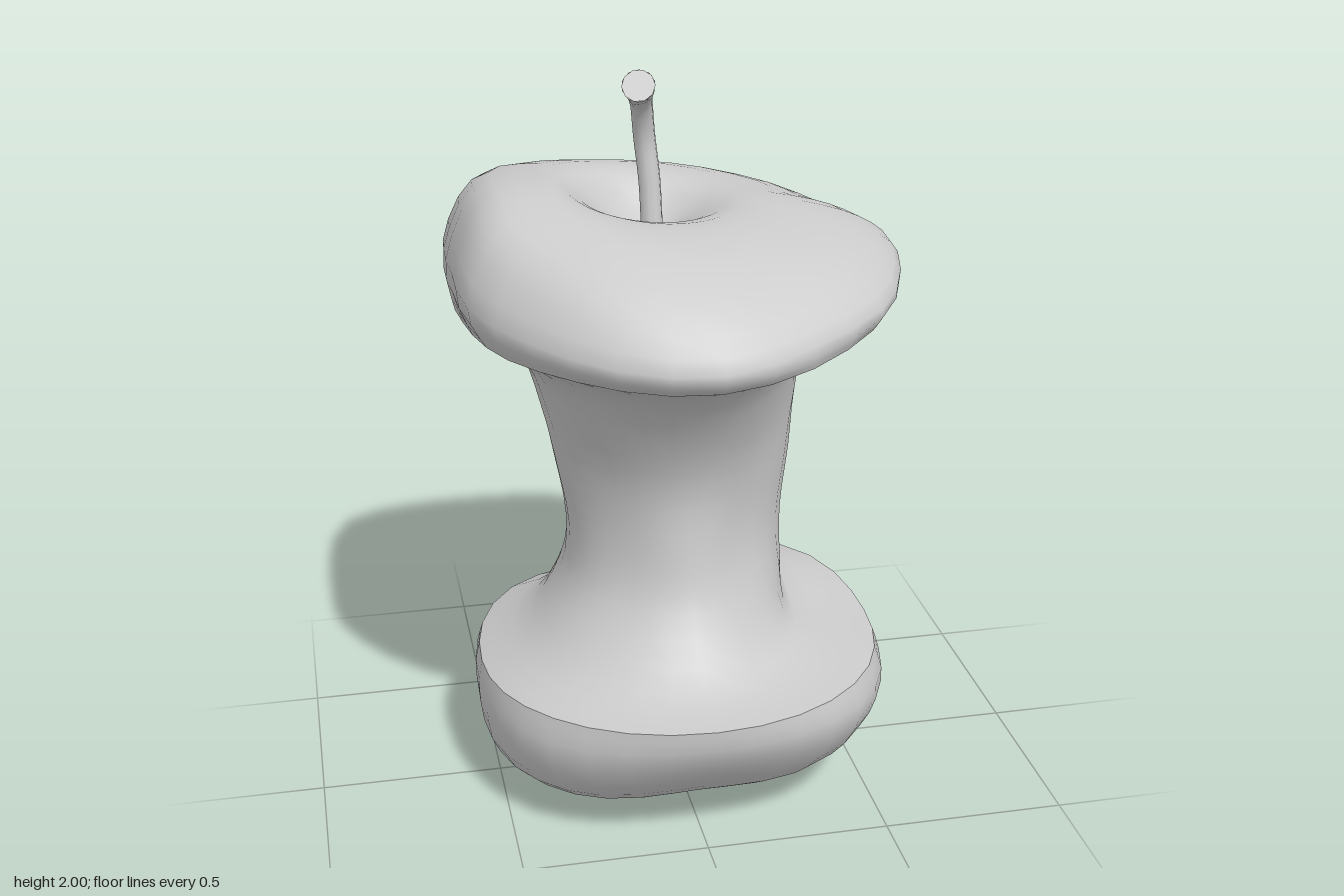
import * as THREE from 'three';

const SEGMENTS = 32, STEPS = 3;
const material = new THREE.MeshStandardMaterial({ color: 0xcccccc, side: THREE.DoubleSide });

const spline = (a, b, c, d, t) =>
  b + 0.5 * t * (c - a + t * (2 * a - 5 * b + 4 * c - d + t * (3 * (b - c) + d - a)));

// Value at an angle, from values evenly spaced round the axis (+x, then towards +z)
function around(values, u) {
  if (!Array.isArray(values)) return values;
  const n = values.length, i = Math.floor(u * n), at = (k) => values[(i + k + n) % n];
  return spline(at(-1), at(0), at(1), at(2), u * n - i);
}

// Ring: radii, heights and centre; each may vary round the axis
const ring = (r, y, cx = 0, cz = 0) => ({ r, y, cx, cz });

function ringPoint(s, j) {
  const u = j / SEGMENTS, a = u * Math.PI * 2, r = around(s.r, u);
  return [s.cx + Math.cos(a) * r, around(s.y, u), s.cz + Math.sin(a) * r];
}

// Smooth skin through rings listed along the surface
function loft(name, rings) {
  const positions = [], index = [], last = rings.length - 1;
  const rows = last * STEPS;
  for (let i = 0; i <= rows; i++) {
    const k = Math.min(Math.floor(i / STEPS), last - 1), t = i / STEPS - k;
    const near = [-1, 0, 1, 2].map((n) => rings[Math.max(0, Math.min(last, k + n))]);
    for (let j = 0; j < SEGMENTS; j++) {
      const [a, b, c, d] = near.map((s) => ringPoint(s, j));
      for (let n = 0; n < 3; n++) positions.push(spline(a[n], b[n], c[n], d[n], t));
      if (i < rows) {
        const p = i * SEGMENTS + j, q = i * SEGMENTS + (j + 1) % SEGMENTS;
        index.push(p, q, p + SEGMENTS, q, q + SEGMENTS, p + SEGMENTS);
      }
    }
  }
  const geometry = new THREE.BufferGeometry();
  geometry.setAttribute('position', new THREE.Float32BufferAttribute(positions, 3));
  geometry.setIndex(index);
  geometry.computeVertexNormals();
  const mesh = new THREE.Mesh(geometry, material);
  mesh.name = name;
  return mesh;
}

// Bent stalk with a flared, capped tip
function makeStem() {
  const path = new THREE.CatmullRomCurve3([
    [-0.03, 1.53, -0.1], [-0.033, 1.68, -0.122], [-0.045, 1.8, -0.13],
    [-0.06, 1.9, -0.088], [-0.083, 1.96, -0.003],
  ].map((p) => new THREE.Vector3(...p)));
  const rows = 16, sides = 10;
  const geometry = new THREE.TubeGeometry(path, rows, 0.031, sides);
  const position = geometry.attributes.position, v = new THREE.Vector3();
  for (let i = 0; i < position.count; i++) {
    const t = Math.floor(i / (sides + 1)) / rows, centre = path.getPointAt(t);
    const scale = 0.95 + 0.45 * Math.max(0, (t - 0.75) / 0.25) ** 1.5;
    v.fromBufferAttribute(position, i).sub(centre).multiplyScalar(scale).add(centre);
    position.setXYZ(i, v.x, v.y, v.z);
  }
  geometry.computeVertexNormals();
  const stalk = new THREE.Mesh(geometry, material);
  stalk.name = 'stalk';
  const tip = new THREE.Mesh(new THREE.CircleGeometry(0.0434, sides), material);
  tip.name = 'stalkTip';
  tip.position.copy(path.getPointAt(1));
  tip.quaternion.setFromUnitVectors(new THREE.Vector3(0, 0, 1), path.getTangentAt(1));
  const stem = new THREE.Group();
  stem.name = 'stem';
  stem.add(stalk, tip);
  return stem;
}

export function createModel() {
  const group = new THREE.Group();
  group.name = 'appleCore';

  // Bitten edges shared by the skin and the flesh
  const upperLip = ring([0.56, 0.6, 0.62, 0.58, 0.55, 0.66, 0.63, 0.66],
    [1.45, 1.42, 1.36, 1.37, 1.36, 1.34, 1.25, 1.39]);
  const lowerLip = ring([0.57, 0.59, 0.6, 0.56, 0.54, 0.57, 0.53, 0.6],
    [0.4, 0.41, 0.42, 0.39, 0.36, 0.37, 0.37, 0.42]);

  // Upper skin: dimple, crown, shoulder, widest edge, lip
  const rim = [0.59, 0.6, 0.625, 0.62, 0.66, 0.645, 0.61, 0.605,
    0.575, 0.62, 0.72, 0.69, 0.68, 0.715, 0.695, 0.595];
  const scaled = (f) => rim.map((r) => r * f);
  group.add(loft('upperSkin', [
    ring(0, 1.53, -0.03, -0.1),
    ring(0.05, 1.55, -0.03, -0.1),
    ring(0.12, 1.595, -0.035, -0.09),
    ring(0.23, [1.645, 1.645, 1.65, 1.67, 1.69, 1.68, 1.66, 1.64], -0.04, -0.05),
    ring(scaled(0.6), [1.635, 1.62, 1.625, 1.67, 1.71, 1.69, 1.655, 1.615]),
    ring(scaled(0.86), [1.585, 1.56, 1.535, 1.6, 1.685, 1.635, 1.575, 1.54]),
    ring(rim, [1.52, 1.48, 1.42, 1.45, 1.5, 1.46, 1.38, 1.44]),
    upperLip,
  ]));

  // Eaten flesh between the two lips
  group.add(loft('flesh', [
    upperLip,
    ring([0.39, 0.4, 0.46, 0.43, 0.41, 0.46, 0.47, 0.5],
      [1.36, 1.33, 1.28, 1.28, 1.27, 1.26, 1.22, 1.31]),
    ring([0.345, 0.3, 0.33, 0.34, 0.355, 0.37, 0.375, 0.42], 1.12),
    ring([0.33, 0.245, 0.255, 0.265, 0.315, 0.32, 0.34, 0.38], 0.94),
    ring([0.31, 0.23, 0.26, 0.245, 0.285, 0.305, 0.365, 0.36], 0.76),
    ring([0.315, 0.275, 0.305, 0.285, 0.3, 0.345, 0.375, 0.365], 0.6),
    ring([0.345, 0.38, 0.44, 0.42, 0.4, 0.42, 0.44, 0.42],
      [0.46, 0.45, 0.45, 0.45, 0.45, 0.46, 0.44, 0.5]),
    lowerLip,
  ]));

  // Lower skin: lip, widest edge, rounded underside
  group.add(loft('lowerSkin', [
    lowerLip,
    ring([0.59, 0.61, 0.58, 0.575, 0.55, 0.6, 0.59, 0.625],
      [0.29, 0.31, 0.32, 0.28, 0.26, 0.28, 0.28, 0.31]),
    ring([0.5, 0.53, 0.46, 0.51, 0.52, 0.52, 0.54, 0.52],
      [0.15, 0.17, 0.17, 0.14, 0.12, 0.14, 0.16, 0.16]),
    ring([0.33, 0.37, 0.3, 0.36, 0.38, 0.37, 0.39, 0.37],
      [0.08, 0.08, 0.07, 0.06, 0.04, 0.06, 0.07, 0.08]),
    ring(0, 0, -0.02, -0.05),
  ]));

  group.add(makeStem());
  return group;
}
